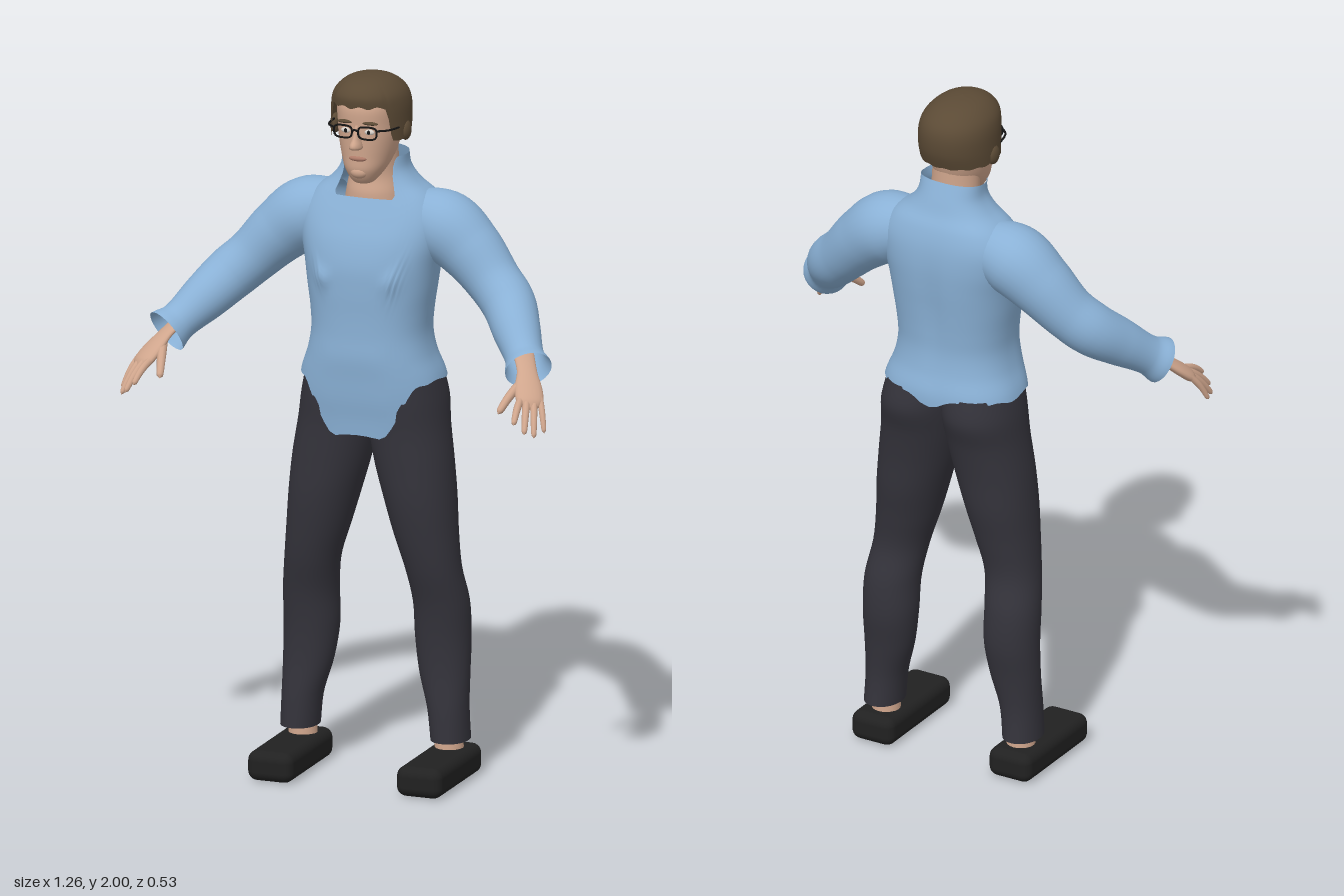
import * as THREE from 'three';
import { RoundedBoxGeometry } from 'three/addons/geometries/RoundedBoxGeometry.js';

const mat = (name, color) => new THREE.MeshStandardMaterial({ name, color, side: THREE.DoubleSide });
const { smoothstep } = THREE.MathUtils;

// Grid closed around u, open along v; fn(u, v) returns [x, y, z]
function grid(fn, nu, nv) {
  const pos = [], idx = [];
  for (let j = 0; j <= nv; j++)
    for (let i = 0; i < nu; i++) pos.push(...fn(i / nu * Math.PI * 2, j / nv));
  for (let j = 0; j < nv; j++)
    for (let i = 0; i < nu; i++) {
      const a = j * nu + i, c = j * nu + (i + 1) % nu, b = a + nu, d = c + nu;
      idx.push(a, b, c, c, b, d);
    }
  const g = new THREE.BufferGeometry();
  g.setAttribute('position', new THREE.Float32BufferAttribute(pos, 3));
  g.setIndex(idx);
  g.computeVertexNormals();
  return g;
}

// Smooth interpolation between table rows
function rowAt(rows, t) {
  const n = rows.length - 1, i = Math.min(Math.floor(t), n - 1), f = t - i;
  const r = k => rows[Math.min(Math.max(k, 0), n)];
  return rows[0].map((_, k) => {
    const a = r(i - 1)[k], b = r(i)[k], c = r(i + 1)[k], d = r(i + 2)[k];
    return b + 0.5 * f * (c - a + f * (2 * a - 5 * b + 4 * c - d + f * (3 * (b - c) + d - a)));
  });
}
function rowOf(rows, y) {
  let i = 0;
  while (i < rows.length - 2 && rows[i + 1][0] < y) i++;
  return i + THREE.MathUtils.clamp((y - rows[i][0]) / (rows[i + 1][0] - rows[i][0]), 0, 1);
}

// Stack of rounded sections: rows of [y, halfWidth, zBack, zFront, xCentre]
function loft(rows, { lo, hi, n = 2, nu = 40, nv = 40, bump } = {}) {
  const p = (c) => Math.sign(c) * Math.abs(c) ** (2 / n);
  return grid((a, v) => {
    const t0 = lo ? rowOf(rows, lo(a)) : 0, t1 = hi ? rowOf(rows, hi(a)) : rows.length - 1;
    const [y, w, zb, zf, cx = 0] = rowAt(rows, t0 + (t1 - t0) * v);
    const q = [cx + w * p(Math.cos(a)), y, (zb + zf) / 2 + (zf - zb) / 2 * p(Math.sin(a))];
    if (bump) q[2] += bump(q[0], y, a);
    return q;
  }, nu, nv);
}

// Tapered tube through [x, y, z, radius]; flat squeezes it across the ref direction
function limb(pts, ref, { flat = 1, nu = 20, nv = 32 } = {}) {
  const curve = new THREE.CatmullRomCurve3(pts.map(q => new THREE.Vector3(q[0], q[1], q[2])));
  const r0 = new THREE.Vector3(...ref);
  return grid((a, v) => {
    const t = curve.getTangent(v), c = curve.getPoint(v), r = rowAt(pts, v * (pts.length - 1))[3];
    const n = r0.clone().addScaledVector(t, -r0.dot(t)).normalize();
    const b = n.clone().cross(t);
    return c.addScaledVector(n, r * Math.cos(a)).addScaledVector(b, r * flat * Math.sin(a)).toArray();
  }, nu, nv);
}

const SHIRT = [
  [0.97, 0.2, -0.25, 0.015], [1.03, 0.207, -0.255, 0.02], [1.09, 0.21, -0.262, 0.028],
  [1.15, 0.2, -0.262, 0.033], [1.21, 0.178, -0.247, 0.038], [1.27, 0.167, -0.24, 0.036],
  [1.33, 0.17, -0.243, 0.036], [1.4, 0.18, -0.25, 0.038], [1.47, 0.19, -0.258, 0.036],
  [1.54, 0.205, -0.262, 0.02], [1.6, 0.205, -0.258, -0.005], [1.65, 0.175, -0.245, -0.028],
  [1.69, 0.125, -0.225, -0.045], [1.73, 0.097, -0.21, -0.055], [1.775, 0.094, -0.192, -0.06]];
const LEG = [
  [0.11, 0.053, -0.195, -0.058, 0.222], [0.2, 0.057, -0.19, -0.062, 0.215],
  [0.3, 0.071, -0.2, -0.07, 0.201], [0.4, 0.078, -0.215, -0.068, 0.194],
  [0.5, 0.078, -0.21, -0.055, 0.192], [0.6, 0.078, -0.187, -0.03, 0.178],
  [0.7, 0.089, -0.197, -0.012, 0.158], [0.8, 0.1, -0.215, 0, 0.14],
  [0.9, 0.109, -0.225, 0.003, 0.121], [1.0, 0.111, -0.242, 0.005, 0.104],
  [1.08, 0.1085, -0.264, 0.012, 0.0965], [1.15, 0.1025, -0.252, 0.014, 0.0875]];
const HEAD = [
  [1.698, 0.004, -0.05, -0.03], [1.705, 0.03, -0.07, -0.008], [1.74, 0.056, -0.13, 0.012],
  [1.78, 0.072, -0.17, 0.013], [1.83, 0.083, -0.19, 0.014], [1.87, 0.087, -0.2, 0.014],
  [1.92, 0.09, -0.2, 0.013], [1.96, 0.08, -0.17, -0.01], [1.98, 0.04, -0.12, -0.05]];
const HAIR = [
  [1.825, 0.108, -0.205, 0.02], [1.87, 0.109, -0.22, 0.025], [1.92, 0.107, -0.222, 0.03],
  [1.955, 0.096, -0.207, 0.03], [1.982, 0.07, -0.17, 0.005], [1.996, 0.036, -0.125, -0.035],
  [2.0, 0.001, -0.081, -0.079]];

export function createModel() {
  const root = new THREE.Group();
  const skin = mat('skin', 0xcfa58c), hair = mat('hair', 0x5b4a35), shirt = mat('shirt blue', 0x8ab1d6);
  const pants = mat('trouser charcoal', 0x34333b), shoe = mat('shoe black', 0x212121);
  const frame = mat('glasses black', 0x141414), lip = mat('lips', 0xae7b69), white = mat('eye white', 0xd8d2cb);
  const add = (name, geo, m, parent = root) => {
    const mesh = new THREE.Mesh(geo, m);
    mesh.name = name;
    parent.add(mesh);
    return mesh;
  };
  const ball = (name, m, [x, y, z], [sx, sy, sz], parent) => {
    const b = add(name, new THREE.SphereGeometry(1, 20, 14), m, parent);
    b.position.set(x, y, z);
    b.scale.set(sx, sy, sz);
  };

  // Shirt body: long front tail, open collar, chest points and a spine groove
  add('shirt', loft(SHIRT, {
    n: 2.4, nu: 72, nv: 56,
    lo: a => 0.004 * Math.sin(9 * a) + (Math.sin(a) > 0
      ? 0.99 + 0.15 * smoothstep(Math.abs(Math.cos(a)), 0.25, 0.85)
      : 1.14 - 0.02 * Math.exp(-((Math.cos(a) / 0.15) ** 2))),
    hi: a => Math.sin(a) > 0 ? 1.655 + 0.11 * smoothstep(Math.abs(Math.cos(a)), 0.42, 0.85) : 1.765 - 0.01 * Math.sin(a),
    bump: (x, y, a) => Math.sin(a) > 0
      ? 0.016 * Math.exp(-(((Math.abs(x) - 0.105) / 0.022) ** 2) - ((y - 1.435) / 0.025) ** 2)
      : 0.008 * Math.exp(-((x / 0.03) ** 2) - ((y - 1.4) / 0.15) ** 2),
  }), shirt);

  // Neck and head
  add('neck', loft([[1.6, 0.09, -0.2, -0.05], [1.66, 0.08, -0.195, -0.05],
    [1.72, 0.07, -0.183, -0.06], [1.82, 0.066, -0.18, -0.04]]), skin);
  const head = new THREE.Group();
  head.name = 'head';
  root.add(head);
  add('face', loft(HEAD, { n: 2.2 }), skin, head);
  add('nose', loft([[1.803, 0.004, -0.01, 0.012], [1.81, 0.017, -0.01, 0.045], [1.822, 0.016, -0.01, 0.05],
    [1.84, 0.011, -0.01, 0.036], [1.875, 0.008, -0.01, 0.02]], { nu: 16, nv: 16 }), skin, head);
  ball('mouth', lip, [0, 1.778, 0.009], [0.026, 0.008, 0.009], head);
  ball('chin', skin, [0, 1.737, -0.004], [0.026, 0.019, 0.02], head);

  // Cap of hair cut away over the face
  add('hair', loft(HAIR, {
    n: 2.1, nu: 96, nv: 30,
    lo: a => 1.828 + 0.003 * Math.sin(14 * a) + 0.098 * smoothstep(Math.sin(a), 0.56, 0.72),
  }), hair, head);

  // Glasses
  const glasses = new THREE.Group();
  glasses.name = 'glasses';
  head.add(glasses);
  add('bridge', limb([[-0.009, 1.862, 0.03, 0.003], [0, 1.865, 0.032, 0.003], [0.009, 1.862, 0.03, 0.003]],
    [0, 1, 0], { nu: 8, nv: 6 }), frame, glasses);

  for (const s of [1, -1]) {
    const side = s > 0 ? 'left' : 'right';
    const mx = pts => pts.map(([x, ...rest]) => [x * s, ...rest]);

    // Eyes, brows, ears and one half of the glasses
    ball(side + 'Eye', white, [s * 0.034, 1.856, 0.008], [0.015, 0.008, 0.006], head);
    ball(side + 'Pupil', frame, [s * 0.034, 1.856, 0.0125], [0.005, 0.006, 0.003], head);
    ball(side + 'Brow', hair, [s * 0.036, 1.881, 0.009], [0.024, 0.005, 0.008], head);
    ball(side + 'Ear', hair, [s * 0.104, 1.845, -0.09], [0.014, 0.028, 0.024], head);
    const rim = [[-0.026, 0.01], [-0.02, 0.016], [0.02, 0.016], [0.026, 0.01],
      [0.025, -0.009], [0.018, -0.015], [-0.018, -0.015], [-0.025, -0.009]]
      .map(([x, y]) => new THREE.Vector3(s * 0.036 + x, 1.857 + y, 0.029 - 0.1 * Math.max(0, s * x)));
    add(side + 'Rim', new THREE.TubeGeometry(new THREE.CatmullRomCurve3(rim, true), 40, 0.0028, 6, true), frame, glasses);
    add(side + 'Temple', limb(mx([[0.062, 1.866, 0.026, 0.003], [0.088, 1.865, 0, 0.003], [0.104, 1.86, -0.09, 0.003]]),
      [0, 1, 0], { nu: 8, nv: 12 }), frame, glasses);

    // Sleeve with flared cuff
    add(side + 'Sleeve', limb(mx([[0.1, 1.59, -0.14, 0.08], [0.2, 1.568, -0.138, 0.1], [0.28, 1.51, -0.13, 0.09],
      [0.355, 1.435, -0.11, 0.077], [0.41, 1.385, -0.08, 0.075], [0.46, 1.33, -0.015, 0.067],
      [0.51, 1.275, 0.052, 0.055], [0.535, 1.25, 0.085, 0.066]]), [0, 0, 1], { nu: 28, nv: 56 }), shirt);

    // Hand
    const hand = new THREE.Group();
    hand.name = side + 'Hand';
    root.add(hand);
    const across = [s * 0.8, -0.1, -0.55];
    add('palm', limb(mx([[0.505, 1.28, 0.045, 0.03], [0.535, 1.245, 0.095, 0.029], [0.555, 1.212, 0.135, 0.039],
      [0.572, 1.182, 0.168, 0.038], [0.58, 1.168, 0.182, 0.018], [0.582, 1.164, 0.186, 0.001]]), across, { flat: 0.42 }), skin, hand);
    const finger = (name, base, tip, r) => {
      const at = (k, lift) => [0, 1, 2].map(i => base[i] + (tip[i] - base[i]) * k + (i === 1 ? lift : 0));
      add(name, limb(mx([[...at(-0.15, 0), r], [...at(0.3, 0.008), r], [...at(0.65, 0.008), r * 0.9],
        [...at(0.93, 0.002), r * 0.7], [...tip, 0.0005]]), across, { nu: 10, nv: 16 }), skin, hand);
    };
    finger('indexFinger', [0.549, 1.183, 0.186], [0.562, 1.14, 0.266], 0.0105);
    finger('middleFinger', [0.565, 1.181, 0.176], [0.59, 1.113, 0.257], 0.0105);
    finger('ringFinger', [0.582, 1.179, 0.164], [0.61, 1.1, 0.235], 0.01);
    finger('littleFinger', [0.597, 1.177, 0.151], [0.624, 1.105, 0.193], 0.009);
    finger('thumb', [0.532, 1.222, 0.12], [0.5, 1.155, 0.225], 0.013);

    // Trouser leg, ankle and shoe
    add(side + 'TrouserLeg', loft(LEG.map(([y, w, b, f, cx]) => [y, w, b, f, cx * s]), { n: 2.1, nv: 60 }), pants);
    add(side + 'Ankle', new THREE.CylinderGeometry(0.036, 0.042, 0.11, 20), skin).position.set(s * 0.216, 0.11, -0.13);
    add(side + 'Shoe', new RoundedBoxGeometry(0.134, 0.085, 0.337, 4, 0.028), shoe).position.set(s * 0.22, 0.0425, -0.044);
  }
  return root;
}
